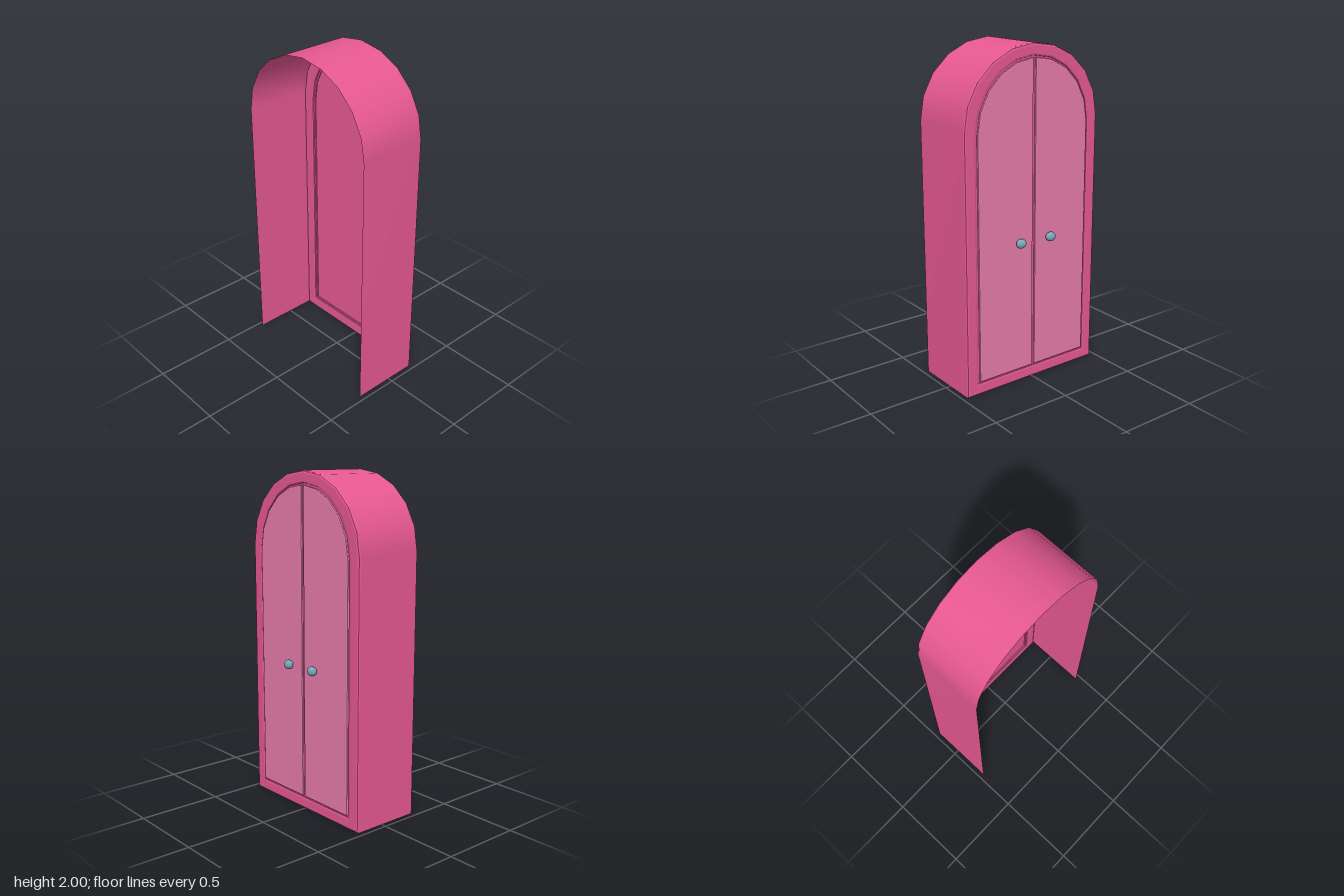
import * as THREE from 'three';

const STEPS = 10; // facets in the arch

// Arched outline, anticlockwise from the lower left corner
function archPoints(half, bottom, spring, rise) {
  const pts = [new THREE.Vector2(-half, bottom), new THREE.Vector2(half, bottom)];
  for (let i = 0; i <= STEPS; i++) {
    const a = (Math.PI * i) / STEPS;
    pts.push(new THREE.Vector2(half * Math.cos(a), spring + rise * Math.sin(a)));
  }
  return pts;
}

// Extrude an outline along +x, from x0 to x1, with bevelled edges
function slab(shape, x0, x1, bevel) {
  const geo = new THREE.ExtrudeGeometry(shape, {
    depth: x1 - x0 - 2 * bevel, bevelEnabled: bevel > 0, bevelThickness: bevel,
    bevelSize: bevel, bevelOffset: -bevel, bevelSegments: 2,
  });
  return geo.translate(0, 0, x0 + bevel).rotateY(Math.PI / 2);
}

// Thin arched wall, open at the back and underneath
function shellGeometry(x0, x1) {
  const path = archPoints(0.47, 0, 1.56, 0.44).slice(1);
  path.push(new THREE.Vector2(-0.47, 0));
  const pos = [], index = [];
  path.forEach((p, i) => {
    pos.push(x0, p.y, p.x, x1, p.y, p.x);
    if (i < path.length - 1) {
      const a = 2 * i;
      index.push(a, a + 1, a + 3, a, a + 3, a + 2);
    }
  });
  const geo = new THREE.BufferGeometry();
  geo.setAttribute('position', new THREE.Float32BufferAttribute(pos, 3));
  geo.setIndex(index);
  geo.computeVertexNormals();
  return geo;
}

export function createModel() {
  const group = new THREE.Group();
  const material = (name, color) => new THREE.MeshStandardMaterial({ name, color });
  const pink = material('pink body', 0xea5a93);
  const pale = material('pale pink door', 0xe77cab);
  const blue = material('blue grey knob', 0x7aa5b8);
  pink.side = THREE.DoubleSide;

  const add = (name, geo, mat) => {
    const mesh = new THREE.Mesh(geo, mat);
    mesh.name = name;
    group.add(mesh);
    return mesh;
  };

  // Cabinet walls and arched roof
  add('shell', shellGeometry(-0.243, 0.177), pink);

  // Front frame with an arched opening
  const frame = new THREE.Shape(archPoints(0.469, 0, 1.56, 0.439));
  frame.holes.push(new THREE.Path(archPoints(0.393, 0.072, 1.53, 0.398)));
  add('frontFrame', slab(frame, 0.162, 0.19, 0.012), pink);

  // Recessed rim around the doors
  const rim = new THREE.Shape(archPoints(0.4, 0.065, 1.53, 0.405));
  rim.holes.push(new THREE.Path(archPoints(0.383, 0.082, 1.53, 0.388)));
  add('doorRim', slab(rim, 0.172, 0.182, 0), pink);

  // Panel behind the doors, closing the seam between them
  const backing = new THREE.Shape(archPoints(0.384, 0.081, 1.53, 0.389));
  add('doorBacking', slab(backing, 0.178, 0.184, 0), pink);

  // Two doors, each with a knob
  for (const side of [1, -1]) {
    const pts = [new THREE.Vector2(side * 0.008, 0.08), new THREE.Vector2(side * 0.387, 0.08)];
    for (let i = 0; i <= STEPS / 2; i++) {
      const a = (Math.PI * i) / STEPS;
      const x = Math.max(0.008, 0.387 * Math.cos(a));
      pts.push(new THREE.Vector2(side * x, 1.53 + 0.39 * Math.sin(a)));
    }
    const name = side > 0 ? 'rightDoor' : 'leftDoor';
    add(name, slab(new THREE.Shape(pts), 0.18, 0.197, 0.008), pale);

    const knob = add(name + 'Knob', new THREE.SphereGeometry(1, 20, 14), blue);
    knob.scale.set(0.025, 0.028, 0.032);
    knob.position.set(0.218, 0.877, -side * 0.108);
  }
  return group;
}
